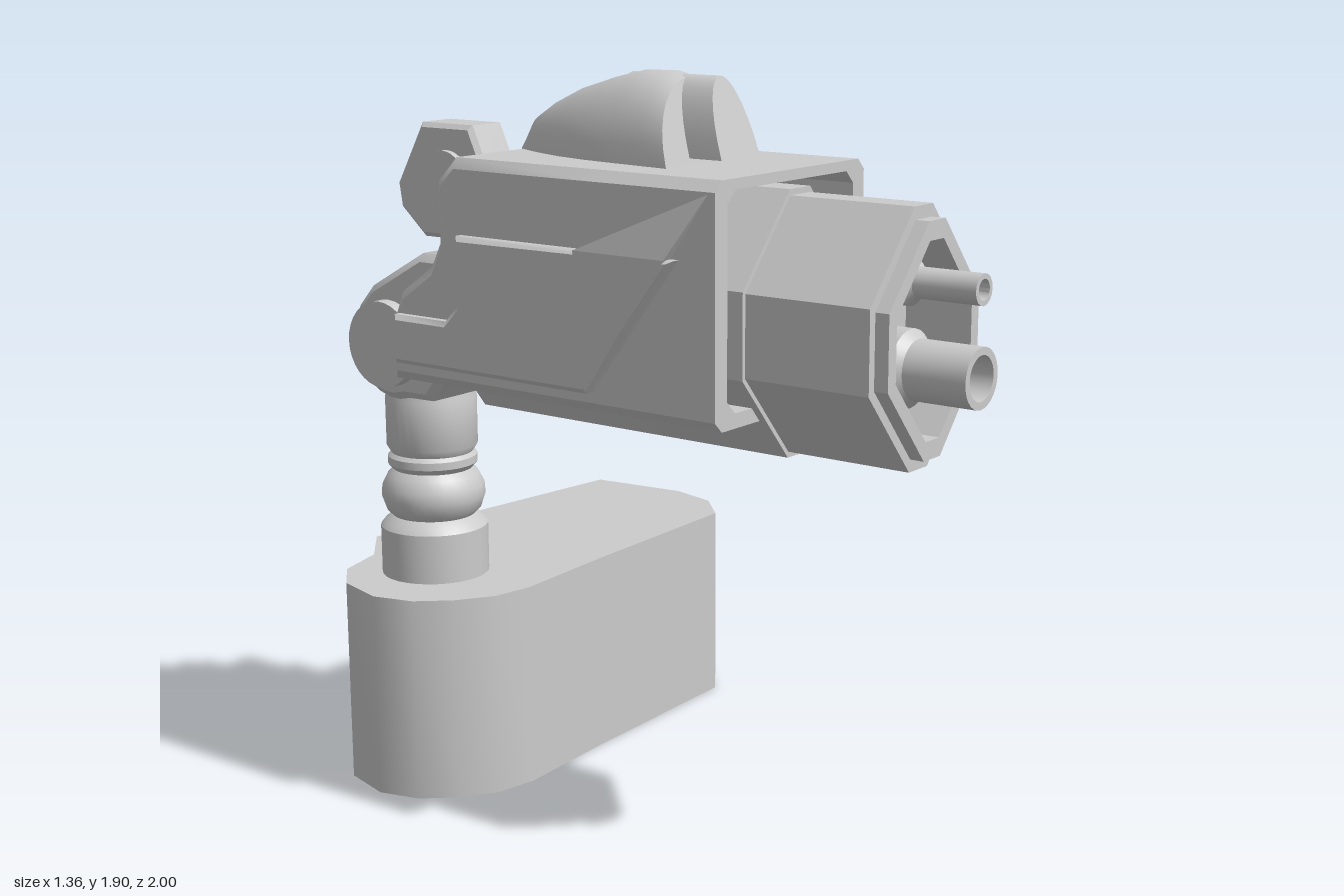
import * as THREE from 'three';
import { toCreasedNormals } from 'three/addons/utils/BufferGeometryUtils.js';
import { ConvexGeometry } from 'three/addons/geometries/ConvexGeometry.js';

const material = new THREE.MeshStandardMaterial({ color: 0xcccccc, side: THREE.DoubleSide });
const shapeOf = (pts) => new THREE.Shape(pts.map(([a, b]) => new THREE.Vector2(a, b)));

function add(parent, name, geometry, x = 0, y = 0, z = 0, crease = 0.6) {
  const mesh = new THREE.Mesh(crease ? toCreasedNormals(geometry, crease) : geometry, material);
  mesh.name = name;
  mesh.position.set(x, y, z);
  parent.add(mesh);
  return mesh;
}

// Extrude a [z, y] profile sideways, centred on x = 0, with chamfered edges
function sideways(pts, width, bevel = 0.02) {
  const g = new THREE.ExtrudeGeometry(shapeOf(pts), {
    depth: width - 2 * bevel, bevelEnabled: bevel > 0, bevelSize: bevel,
    bevelThickness: bevel, bevelOffset: -bevel, bevelSegments: 1,
  });
  return g.translate(0, 0, bevel - width / 2).rotateY(-Math.PI / 2);
}

// Extrude an [x, y] outline along z from z0 to z1, with an optional hole
function forward(pts, z0, z1, hole) {
  const s = shapeOf(pts);
  if (hole) s.holes.push(new THREE.Path(hole.map(([a, b]) => new THREE.Vector2(a, b))));
  return new THREE.ExtrudeGeometry(s, { depth: z1 - z0, bevelEnabled: false }).translate(0, 0, z0);
}

// Tall eight-cornered outline of the nose
const noseOutline = (s) => [[0.04, 0.31], [0.22, 0.1], [0.22, -0.1], [0.04, -0.31],
  [-0.04, -0.31], [-0.22, -0.1], [-0.22, 0.1], [-0.04, 0.31]].map(([x, y]) => [x * s, y * s]);

// Rectangle with cut corners
const cutRect = (w, b, t, c) => [[-w + c, b], [w - c, b], [w, b + c], [w, t - c],
  [w - c, t], [-w + c, t], [-w, t - c], [-w, b + c]];

// Arched hood lofted from [z, halfWidth, height, lean] sections
function hoodGeometry(sections, baseY, n = 16) {
  const pos = [], index = [];
  for (const [z, w, h, lean] of sections) {
    for (let i = 0; i <= n; i++) {
      const a = (i / n) * Math.PI, up = Math.sin(a) ** 0.85;
      pos.push(w * Math.cos(a) * (1 - 0.1 * up), baseY + h * up, z - lean * up);
    }
  }
  const row = n + 1, last = (sections.length - 1) * row;
  for (let s = 0; s < sections.length - 1; s++) {
    for (let i = 0; i < n; i++) {
      const a = s * row + i, b = a + row;
      index.push(a, b, a + 1, b, b + 1, a + 1);
    }
  }
  for (let i = 1; i < n; i++) index.push(0, i, i + 1, last, last + i + 1, last + i);
  const g = new THREE.BufferGeometry();
  g.setAttribute('position', new THREE.Float32BufferAttribute(pos, 3));
  g.setIndex(index);
  return g;
}

// Hollow gun tube with a collar, along +z
function tubeGeometry(r, inner, collar, z0, z1, sides) {
  const pts = [[collar, z0], [collar, z0 + 0.13], [r, z0 + 0.15], [r, z1], [inner, z1], [inner, z1 - 0.15], [0, z1 - 0.15]];
  return new THREE.LatheGeometry(pts.map(([a, b]) => new THREE.Vector2(a, b)), sides).rotateX(Math.PI / 2);
}

export function createModel() {
  const model = new THREE.Group();
  model.name = 'mountedTurret';

  // Base block, outline in [x, -z]
  const plan = [[-0.23, 1], [-0.36, 0.88], [-0.5, 0.84], [-0.59, 0.75], [-0.63, 0.61], [-0.6, 0.5],
    [-0.53, 0.42], [-0.44, 0.36], [-0.33, 0.34], [-0.02, 0.36], [0.54, 0.38], [0.64, 0.48],
    [0.675, 0.62], [0.64, 0.9]].reverse();
  const base = new THREE.ExtrudeGeometry(shapeOf(plan), { depth: 0.54, bevelEnabled: false });
  add(model, 'base', base.rotateX(-Math.PI / 2));

  // Everything else is symmetric about the gun's own centre plane
  const gun = new THREE.Group();
  gun.name = 'gun';
  gun.position.x = -0.355;
  model.add(gun);

  // Ribbed column
  const column = [[0.142, 0.52], [0.142, 0.67], [0.13, 0.685], [0.11, 0.7], [0.125, 0.715], [0.137, 0.75],
    [0.135, 0.78], [0.12, 0.81], [0.105, 0.825], [0.118, 0.84], [0.118, 0.86], [0.108, 0.87],
    [0.12, 0.89], [0.12, 1.02], [0.11, 1.05], [0.11, 1.12]];
  add(gun, 'column', new THREE.LatheGeometry(column.map(([r, y]) => new THREE.Vector2(r, y)), 32), 0, 0, -0.65);

  // Lower knuckle: rounded heel running up into the housing
  const heel = [];
  for (let i = 0; i <= 10; i++) {
    const a = 0.6 - (i / 10) * 2.5;
    heel.push([-0.65 - 0.145 * Math.cos(a), 1.18 + 0.15 * Math.sin(a)]);
  }
  add(gun, 'lowerKnuckle', sideways([[-0.36, 1.42], [-0.54, 1.42], [-0.72, 1.32], ...heel,
    [-0.52, 1.04], [-0.47, 1.1], [-0.36, 1.16]], 0.29));
  const pin = (r, w) => new THREE.CylinderGeometry(r, r, w, 32).rotateZ(Math.PI / 2);
  add(gun, 'lowerPivot', pin(0.112, 0.36), 0, 1.18, -0.65);

  // Upper knuckle
  add(gun, 'upperKnuckle', sideways([[-0.43, 1.74], [-0.6, 1.74], [-0.69, 1.58], [-0.68, 1.52],
    [-0.6, 1.45], [-0.4, 1.45], [-0.3, 1.49], [-0.3, 1.64], [-0.39, 1.65]], 0.125, 0.012));
  add(gun, 'upperPivot', pin(0.075, 0.16), 0, 1.6, -0.51);

  // Housing: open frame in front, solid stepped block behind
  add(gun, 'housingFrame', forward(cutRect(0.295, 1.13, 1.69, 0.025), 0.15, 0.5, cutRect(0.25, 1.165, 1.665, 0.03)));
  add(gun, 'housing', sideways([[0.2, 1.13], [0.2, 1.69], [-0.28, 1.69], [-0.34, 1.63], [-0.34, 1.48],
    [-0.37, 1.42], [-0.47, 1.35], [-0.5, 1.28], [-0.5, 1.13]], 0.59, 0.025));
  add(gun, 'rearPanel', sideways([[-0.25, 1.48], [-0.25, 1.65], [-0.355, 1.63], [-0.355, 1.5]], 0.4, 0.01));

  // Side plates with a folded cheek fading into the housing
  add(gun, 'sidePlates', sideways([[0.15, 1.18], [0.4, 1.51], [-0.25, 1.51], [-0.25, 1.34],
    [-0.29, 1.3], [-0.46, 1.3], [-0.46, 1.18]], 0.65, 0.012));
  for (const s of [-1, 1]) {
    const corners = [[0.28, 1.66, 0.48], [0.296, 1.66, 0.48], [0.325, 1.51, 0.38], [0.325, 1.51, 0.12],
      [0.325, 1.19, 0.15], [0.28, 1.18, 0.15], [0.28, 1.51, 0.12]];
    add(gun, 'cheek', new ConvexGeometry(corners.map(([x, y, z]) => new THREE.Vector3(s * x, y, z))), 0, 0, 0, 0);
  }

  // Keel under the housing
  add(gun, 'keel', forward([[-0.04, 1.03], [0.04, 1.03], [0.16, 1.18], [-0.16, 1.18]], -0.42, 0.52));

  // Nose: collar, sleeve, stepped rim and recessed floor
  const nose = new THREE.Group();
  nose.name = 'nose';
  nose.position.y = 1.34;
  gun.add(nose);
  add(nose, 'collar', forward(noseOutline(1), 0.15, 0.52));
  add(nose, 'sleeve', forward(noseOutline(0.955), 0.5, 0.845, noseOutline(0.78)));
  add(nose, 'rim', forward(noseOutline(0.86), 0.8, 0.88, noseOutline(0.72)));
  add(nose, 'recessFloor', forward(noseOutline(0.82), 0.5, 0.7));

  // Two gun tubes
  add(gun, 'upperTube', tubeGeometry(0.036, 0.024, 0.055, 0.69, 1, 16), 0, 1.465, 0);
  add(gun, 'lowerTube', tubeGeometry(0.07, 0.052, 0.09, 0.69, 1, 28), 0, 1.27, 0);

  // Hood on top with a leaning lens block
  add(gun, 'hood', hoodGeometry([[0.27, 0.17, 0.2, 0.06], [0.2, 0.162, 0.212, 0.04], [0.1, 0.15, 0.21, 0.02],
    [0, 0.136, 0.192, 0], [-0.1, 0.112, 0.162, 0], [-0.19, 0.078, 0.122, 0], [-0.25, 0.05, 0.085, 0],
    [-0.29, 0.028, 0.02, 0]], 1.685), 0, 0, 0, 0.7);
  add(gun, 'lens', hoodGeometry([[0.355, 0.075, 0.185, 0.06], [0.1, 0.075, 0.185, 0.06]], 1.705));
  return model;
}
